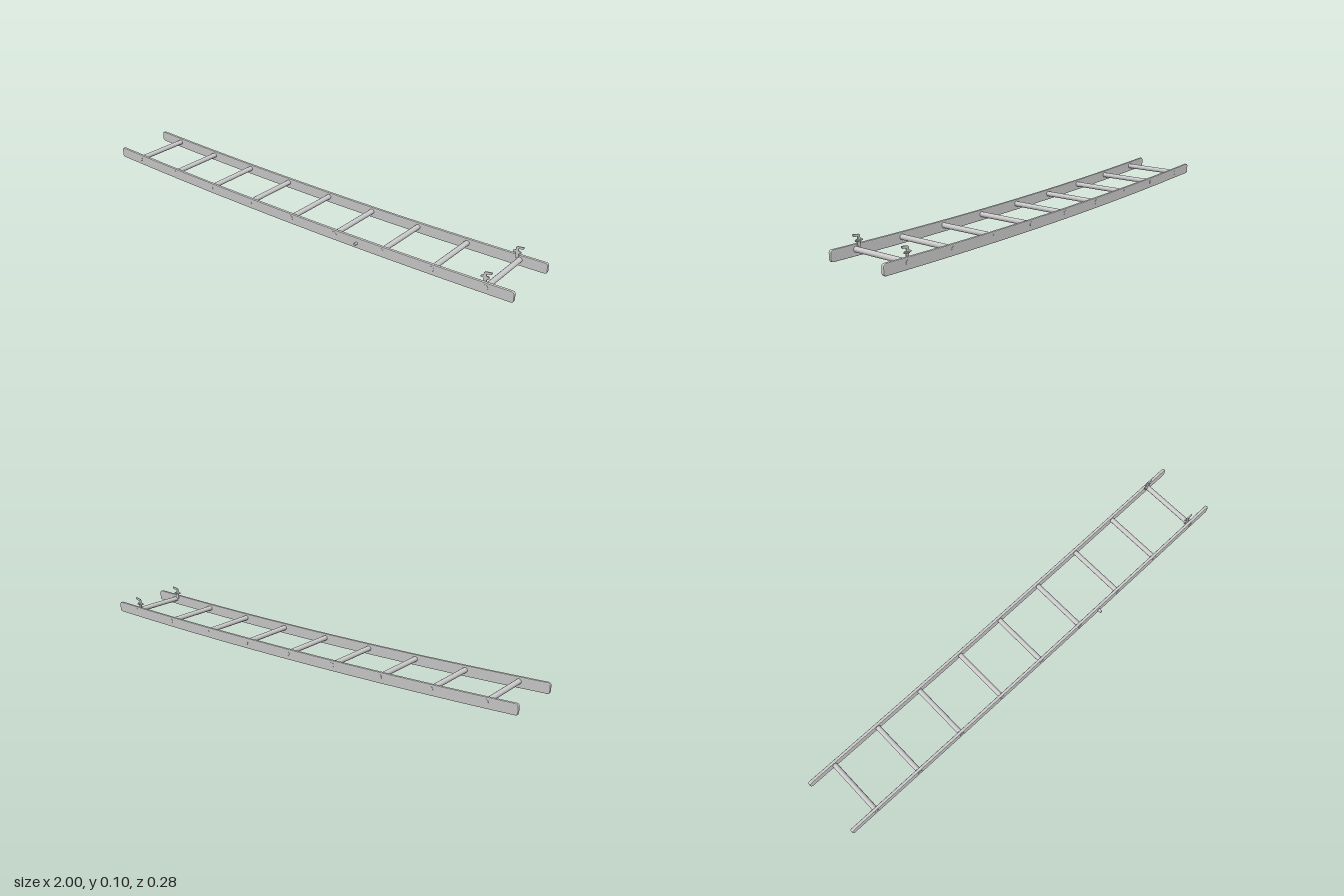
import * as THREE from 'three';

const material = new THREE.MeshStandardMaterial({ color: 0xcccccc });
const HALF = 0.022; // half height of a rail
const SLOPE = 0.004; // slight sideways skew of the ladder
const FRONT_Z = 0.1205, BACK_Z = -0.13;

// Height of the bowed centre line
const bow = (x) => HALF + 0.0185 * x * x;

function addMesh(group, name, geometry, x = 0, y = 0, z = 0) {
  const mesh = new THREE.Mesh(geometry, material);
  mesh.name = name;
  mesh.position.set(x, y, z);
  group.add(mesh);
  return mesh;
}

// Bowed rail with rounded ends and softened edges
function railGeometry() {
  const bevel = 0.003, thickness = 0.0125;
  const h = HALF - bevel, end = 1 - bevel, r = 0.009, steps = 28;
  const shape = new THREE.Shape();
  const span = end - r;
  shape.moveTo(-span, bow(-span) - h);
  for (let i = 1; i <= steps; i++) {
    const x = -span + (2 * span * i) / steps;
    shape.lineTo(x, bow(x) - h);
  }
  const y = bow(end);
  shape.quadraticCurveTo(end, y - h, end, y - h + r);
  shape.lineTo(end, y + h - r);
  shape.quadraticCurveTo(end, y + h, span, bow(span) + h);
  for (let i = 1; i <= steps; i++) {
    const x = span - (2 * span * i) / steps;
    shape.lineTo(x, bow(x) + h);
  }
  shape.quadraticCurveTo(-end, y + h, -end, y + h - r);
  shape.lineTo(-end, y - h + r);
  shape.quadraticCurveTo(-end, y - h, -span, bow(-span) - h);

  const depth = thickness - 2 * bevel;
  const geometry = new THREE.ExtrudeGeometry(shape, {
    depth, curveSegments: 5, bevelEnabled: true,
    bevelSize: bevel, bevelThickness: bevel, bevelSegments: 2,
  });
  geometry.translate(0, 0, -depth / 2);
  const p = geometry.attributes.position;
  for (let i = 0; i < p.count; i++) p.setZ(i, p.getZ(i) + SLOPE * p.getX(i));
  geometry.computeVertexNormals();
  return geometry;
}

// Bent flat hook: foot, upright and top lip
function hookGeometry() {
  const shape = new THREE.Shape();
  [[-0.019, 0.068], [-0.019, 0.074], [-0.008, 0.078], [-0.008, 0.088], [-0.003, 0.093],
    [0.024, 0.097], [0.024, 0.091], [0.02, 0.087], [0.003, 0.085], [0.003, 0.077],
    [0.014, 0.073], [0.014, 0.068], [0.006, 0.066], [0.004, 0.045], [-0.008, 0.045],
    [-0.008, 0.068]].reverse().forEach(([x, y], i) => (i ? shape.lineTo(x, y) : shape.moveTo(x, y)));
  const geometry = new THREE.ExtrudeGeometry(shape, { depth: 0.004, bevelEnabled: false });
  geometry.translate(0, 0, -0.002);
  return geometry;
}

export function createModel() {
  const ladder = new THREE.Group();
  ladder.name = 'ladder';

  // Side rails
  const rail = railGeometry();
  addMesh(ladder, 'frontRail', rail, 0, 0, FRONT_Z);
  addMesh(ladder, 'backRail', rail, 0, 0, BACK_Z);

  // Nine round rungs passing through both rails
  const rungLength = FRONT_Z - BACK_Z + 0.0145;
  const rung = new THREE.CylinderGeometry(0.0105, 0.0105, rungLength, 16).rotateX(Math.PI / 2);
  for (let i = 0; i < 9; i++) {
    const x = 0.006 + (i - 4) * 0.221;
    addMesh(ladder, `rung${i + 1}`, rung, x, bow(x) + 0.004, (FRONT_Z + BACK_Z) / 2 + SLOPE * x);
  }

  // Peg on the outside of the front rail
  const peg = new THREE.CylinderGeometry(0.0055, 0.0055, 0.022, 12).rotateX(Math.PI / 2);
  addMesh(ladder, 'peg', peg, 0.335, 0.024, 0.132);

  // Pair of hooks standing on the inner faces near one end
  const hook = hookGeometry();
  addMesh(ladder, 'frontHook', hook, 0.88, 0, 0.1145);
  addMesh(ladder, 'backHook', hook, 0.88, 0, -0.118);
  const tab = new THREE.BoxGeometry(0.016, 0.004, 0.008);
  addMesh(ladder, 'frontHookTab', tab, 0.882, 0.07, 0.109);
  addMesh(ladder, 'backHookTab', tab, 0.882, 0.07, -0.121);

  return ladder;
}
